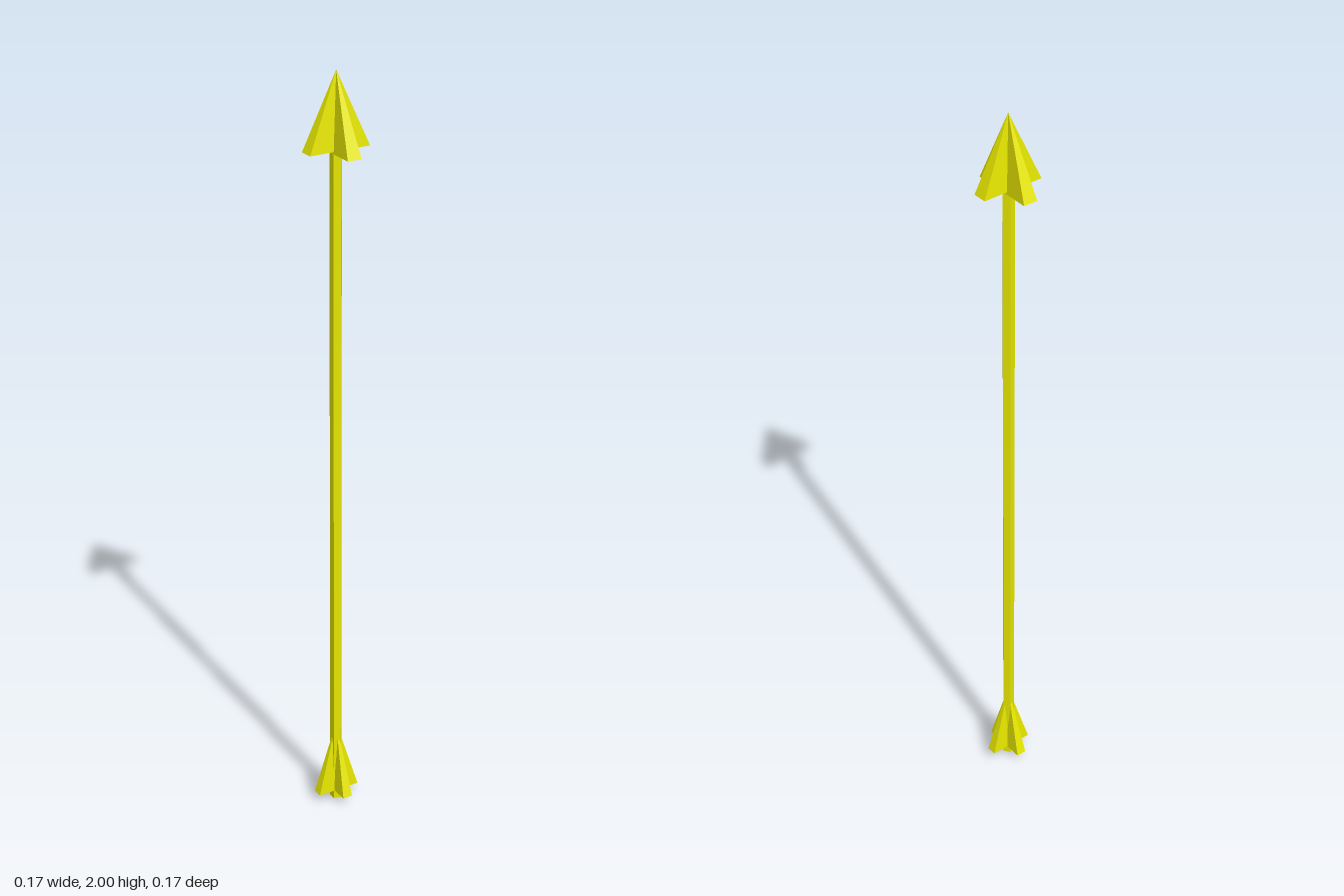
import * as THREE from 'three';

// Four-sided pyramid with a rectangular base
function blade(name, width, depth, baseY, topY, material) {
  const geometry = new THREE.ConeGeometry(Math.SQRT1_2, topY - baseY, 4);
  geometry.rotateY(Math.PI / 4);
  geometry.scale(width, 1, depth);
  geometry.translate(0, (baseY + topY) / 2, 0);
  return flatMesh(name, geometry, material);
}

// Mesh with faceted normals
function flatMesh(name, geometry, material) {
  const faceted = geometry.toNonIndexed();
  faceted.computeVertexNormals();
  const mesh = new THREE.Mesh(faceted, material);
  mesh.name = name;
  return mesh;
}

// Two pyramids crossing at right angles; the one along z may reach a little lower
function crossedBlades(name, width, thickness, baseY, alongBaseY, topY, material) {
  const group = new THREE.Group();
  group.name = name;
  group.add(
    blade(name + 'BladeAcross', width, thickness, baseY, topY, material),
    blade(name + 'BladeAlong', thickness, width, alongBaseY, topY, material)
  );
  return group;
}

export function createModel() {
  const model = new THREE.Group();
  model.name = 'arrow';
  const yellow = new THREE.MeshStandardMaterial({ color: 0xe6e600 });
  yellow.name = 'yellow';

  // Five-sided shaft with one edge towards +x, ending inside the head
  const shaftGeometry = new THREE.CylinderGeometry(0.016, 0.016, 1.83, 5, 1, false, Math.PI / 2);
  shaftGeometry.translate(0, 0.915, 0);

  // Head at the top, fletching near the foot
  model.add(
    flatMesh('shaft', shaftGeometry, yellow),
    crossedBlades('head', 0.166, 0.038, 1.808, 1.802, 2, yellow),
    crossedBlades('fletching', 0.118, 0.027, 0.026, 0.026, 0.228, yellow)
  );
  return model;
}
